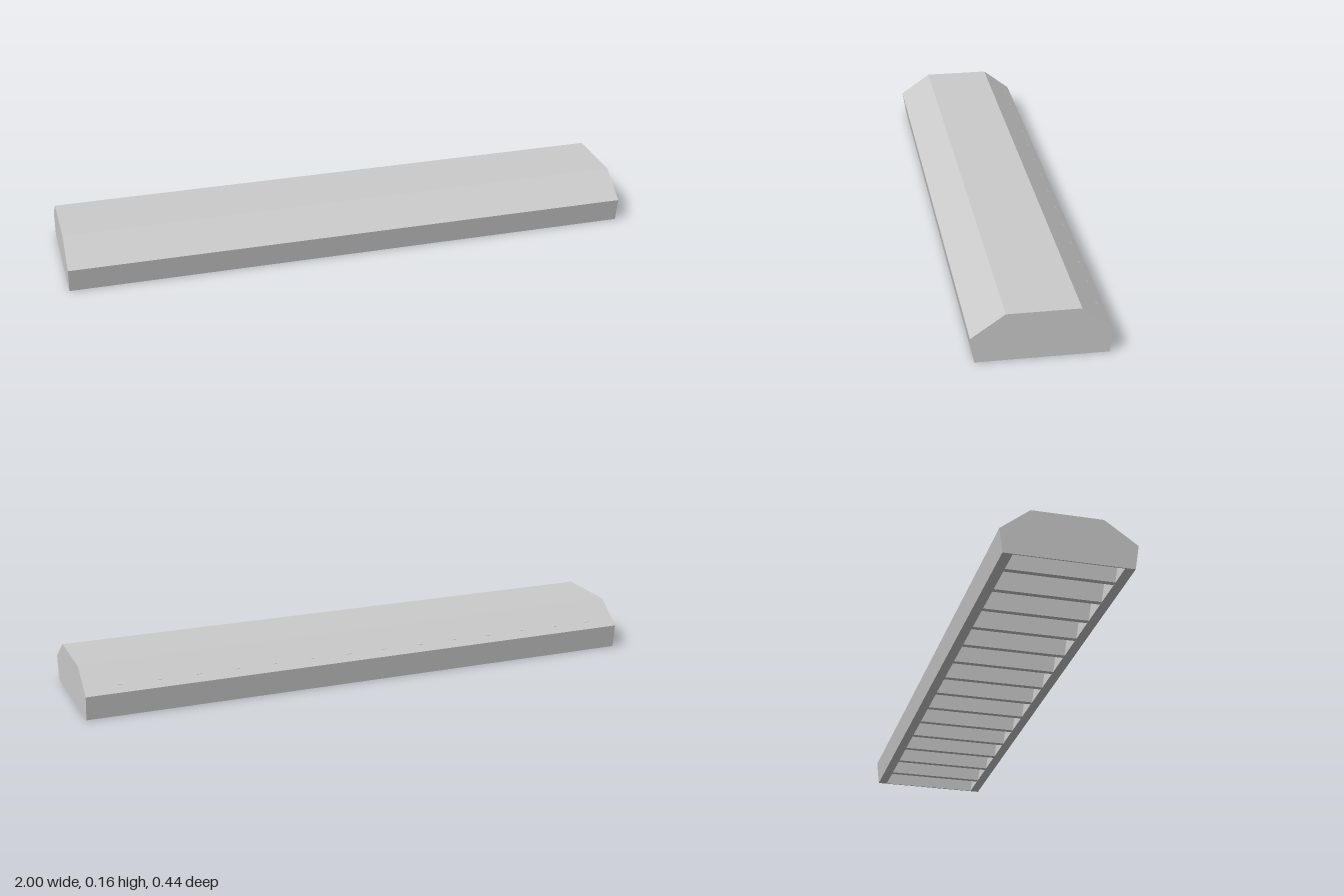
import * as THREE from 'three';

const material = new THREE.MeshStandardMaterial({ color: 0xcccccc, flatShading: true });

// Cross-section given as [z, y] points, extruded along x and centred on the given x.
function slab(name, points, x, width) {
  const shape = new THREE.Shape(points.map(([z, y]) => new THREE.Vector2(-z, y)));
  const geometry = new THREE.ExtrudeGeometry(shape, { depth: width, bevelEnabled: false });
  geometry.translate(0, 0, -width / 2).rotateY(Math.PI / 2);
  const mesh = new THREE.Mesh(geometry, material);
  mesh.name = name;
  mesh.position.x = x;
  return mesh;
}

export function createModel() {
  const group = new THREE.Group();
  group.name = 'ribbedCover';

  const outer = [[0.21, 0], [0.223, 0.084], [0.113, 0.161], [-0.123, 0.161], [-0.222, 0.084], [-0.213, 0]];
  const inner = [[0.177, 0], [0.188, 0.072], [0.104, 0.134], [-0.113, 0.134], [-0.187, 0.072], [-0.18, 0]];

  // Hollow shell, open underneath
  group.add(slab('shell', [...outer, ...[...inner].reverse()], 0, 1.996));

  // Thin end panels
  for (const side of [1, -1]) {
    group.add(slab(side > 0 ? 'leftEndPanel' : 'rightEndPanel', outer, side * 0.998, 0.004));
  }

  // Cross ribs, whose back corners just break through the rear slope
  const rib = [[0.2, 0.001], [0.205, 0.085], [0.11, 0.15], [-0.12, 0.15], [-0.198, 0.104], [-0.2, 0.001]];
  const ribs = new THREE.Group();
  ribs.name = 'ribs';
  for (let i = 0; i < 14; i++) {
    ribs.add(slab('rib', rib, -0.893 + i * 0.1362, 0.018));
  }
  group.add(ribs);

  return group;
}
